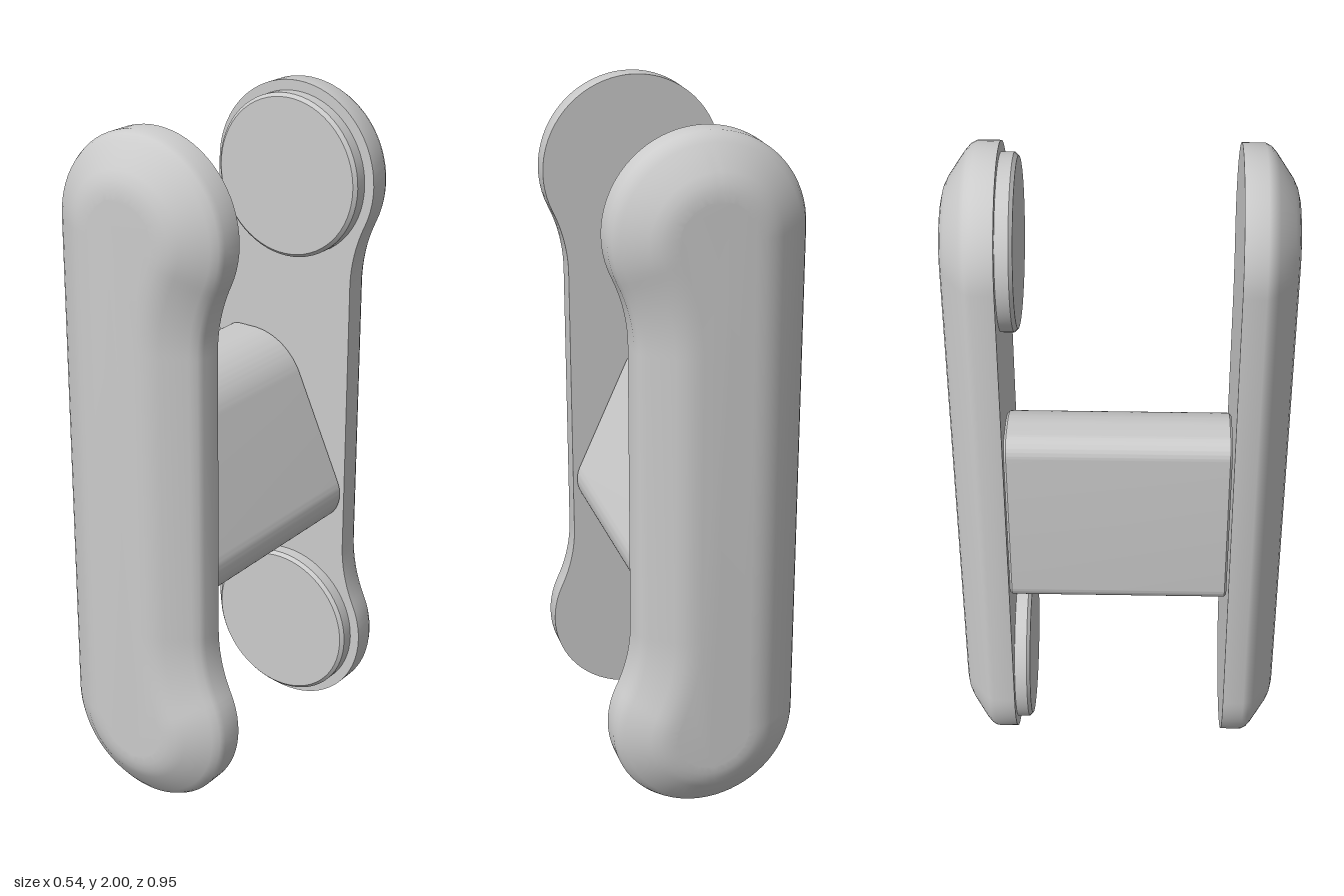
import * as THREE from 'three';
import { toCreasedNormals } from 'three/addons/utils/BufferGeometryUtils.js';

const material = new THREE.MeshStandardMaterial({ color: 0xcccccc });

const END_R = 0.27, LOW = 0.27, HIGH = 1.73; // rounded ends of a plate
const WAIST = 0.2, RISE = 0.31;              // narrow edge and length of its fillets
const FILLET = (RISE * RISE / (END_R - WAIST) - END_R - WAIST) / 2;
const PHI = Math.asin(RISE / (END_R + FILLET));
const INNER = 0.318;                         // distance of the inner plate faces from the middle

function addMesh(group, name, geometry) {
  const mesh = new THREE.Mesh(geometry, material);
  mesh.name = name;
  group.add(mesh);
  return mesh;
}

// Counter-clockwise plate outline, moved inwards by d
function outline(d) {
  const pts = [];
  const arc = (cx, cy, r, a0, a1, n, first, last) => {
    for (let i = first; i <= last; i++) {
      const a = a0 + (a1 - a0) * i / n;
      pts.push(new THREE.Vector2(cx + r * Math.cos(a), cy + r * Math.sin(a)));
    }
  };
  const fx = WAIST + FILLET;
  arc(0, HIGH, END_R - d, -PHI, Math.PI, 40, 0, 40);
  arc(0, LOW, END_R - d, Math.PI, 2 * Math.PI + PHI, 40, 0, 40);
  arc(fx, LOW + RISE, FILLET + d, Math.PI + PHI, Math.PI, 12, 1, 12);
  arc(fx, HIGH - RISE, FILLET + d, Math.PI, Math.PI - PHI, 12, 0, 11);
  return pts;
}

// Plate lofted through inset outlines; side = 1 for front, -1 for back
function plateGeometry(side) {
  const profile = [
    [0, INNER], [0, 0.38], [0.008, 0.396], [0.025, 0.411], [0.09, 0.455],
    [0.115, 0.467], [0.14, 0.473], [0.162, 0.475],
  ];
  const rings = profile.map(([d]) => outline(d));
  const n = rings[0].length, positions = [], index = [];
  rings.forEach((ring, k) => ring.forEach(p => positions.push(p.x, p.y, side * profile[k][1])));
  const tri = (a, b, c) => (side > 0 ? index.push(a, b, c) : index.push(a, c, b));
  for (let k = 0; k < rings.length - 1; k++) {
    for (let i = 0; i < n; i++) {
      const j = (i + 1) % n, a = k * n, b = a + n;
      tri(a + i, a + j, b + j);
      tri(a + i, b + j, b + i);
    }
  }
  // Flat inner and outer faces
  const top = (rings.length - 1) * n;
  for (const [a, b, c] of THREE.ShapeUtils.triangulateShape(rings[0], [])) tri(a, c, b);
  for (const [a, b, c] of THREE.ShapeUtils.triangulateShape(rings[rings.length - 1], [])) {
    tri(top + a, top + b, top + c);
  }
  const g = new THREE.BufferGeometry();
  g.setAttribute('position', new THREE.Float32BufferAttribute(positions, 3));
  g.setIndex(index);
  return toCreasedNormals(g, 0.7);
}

// Counter-clockwise polygon with a fillet of radius r at each corner [x, y, r]
function roundedPolygon(corners) {
  const shape = new THREE.Shape(), n = corners.length;
  const v = corners.map(([x, y]) => new THREE.Vector2(x, y));
  corners.forEach(([, , r], i) => {
    const d1 = v[i].clone().sub(v[(i + n - 1) % n]).normalize();
    const d2 = v[(i + 1) % n].clone().sub(v[i]).normalize();
    const toCentre = d2.clone().sub(d1).normalize();
    const half = Math.acos(toCentre.dot(d2));
    const c = v[i].clone().addScaledVector(toCentre, r / Math.sin(half));
    shape.absarc(c.x, c.y, r, Math.atan2(-d1.x, d1.y), Math.atan2(-d2.x, d2.y), false);
  });
  shape.closePath();
  return shape;
}

export function createModel() {
  const group = new THREE.Group();

  addMesh(group, 'frontPlate', plateGeometry(1));
  addMesh(group, 'backPlate', plateGeometry(-1));

  // Bar joining the plates, with one slanted side
  const section = roundedPolygon([
    [-0.24, 0.655, 0.05], [0.245, 0.655, 0.1], [-0.017, 1.23, 0.19], [-0.24, 1.23, 0.05],
  ]);
  const bevel = 0.006, length = 2 * INNER - 0.004;
  const bar = new THREE.ExtrudeGeometry(section, {
    depth: length - 2 * bevel, curveSegments: 14, bevelEnabled: true,
    bevelThickness: bevel, bevelSize: bevel, bevelOffset: -bevel, bevelSegments: 1,
  });
  bar.translate(0, 0, -INNER + bevel);
  addMesh(group, 'connectingBar', toCreasedNormals(bar, 0.6));

  // Round pads on the inside of the back plate
  const padProfile = [[0.24, 0], [0.24, 0.036], [0.23, 0.046], [0, 0.046]]
    .map(([x, y]) => new THREE.Vector2(x, y));
  const pad = toCreasedNormals(new THREE.LatheGeometry(padProfile, 64).rotateX(Math.PI / 2), 0.5);
  for (const [name, y] of [['upperPad', HIGH], ['lowerPad', LOW]]) {
    addMesh(group, name, pad).position.set(0, y, -INNER);
  }

  return group;
}
